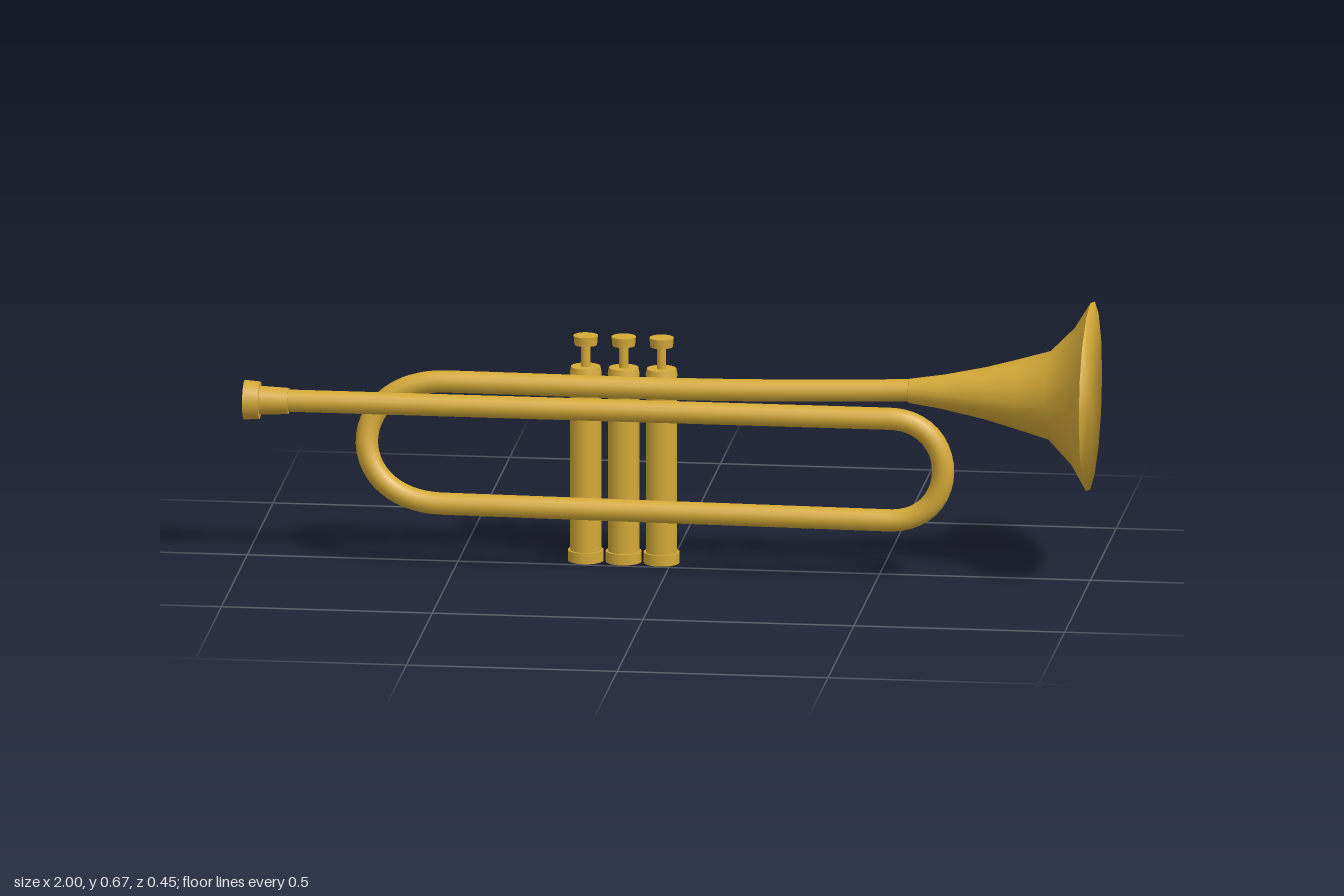
import * as THREE from 'three';

const V = (x, y, z) => new THREE.Vector3(x, y, z);

export function createModel() {
  const group = new THREE.Group();
  group.name = 'trumpet';
  const brass = new THREE.MeshStandardMaterial({ color: 0xd4a937 });
  brass.name = 'brass';

  const add = (name, geometry, parent = group) => {
    const mesh = new THREE.Mesh(geometry, brass);
    mesh.name = name;
    parent.add(mesh);
    return mesh;
  };
  const cylinder = (name, top, bottom, y0, y1, parent) => {
    const mesh = add(name, new THREE.CylinderGeometry(top, bottom, y1 - y0, 20), parent);
    mesh.position.y = (y0 + y1) / 2;
    return mesh;
  };
  const lathe = (points, sides) =>
    new THREE.LatheGeometry(points.map(([r, h]) => new THREE.Vector2(r, h)), sides);

  // Tubing: leadpipe, tuning bend, lower pipe, rear bend and bell pipe as one path
  const path = new THREE.CurvePath();
  path.add(new THREE.LineCurve3(V(-0.91, 0.392, 0.056), V(0.53, 0.392, 0.056)));
  path.add(new THREE.CubicBezierCurve3(
    V(0.53, 0.392, 0.056), V(0.70, 0.392, 0.056), V(0.70, 0.145, 0.056), V(0.53, 0.145, 0.056)));
  path.add(new THREE.LineCurve3(V(0.53, 0.145, 0.056), V(-0.53, 0.153, 0.056)));
  path.add(new THREE.CubicBezierCurve3(
    V(-0.53, 0.153, 0.056), V(-0.774, 0.155, 0.056), V(-0.774, 0.435, -0.003), V(-0.53, 0.435, -0.003)));
  path.add(new THREE.CubicBezierCurve3(
    V(-0.53, 0.435, -0.003), V(-0.1, 0.434, -0.003), V(0.1, 0.428, -0.003), V(0.58, 0.449, 0)));
  add('tubing', new THREE.TubeGeometry(path, 240, 0.0265, 16, false));

  // Bell flare, opening toward +x
  const bell = new THREE.Group();
  bell.name = 'bell';
  bell.position.y = 0.447;
  group.add(bell);
  const flare = lathe([[0, 0.57], [0.029, 0.57], [0.029, 0.571], [0.041, 0.65], [0.062, 0.75],
    [0.084, 0.83], [0.106, 0.905], [0.165, 0.963], [0.226, 1]], 16);
  flare.rotateZ(-Math.PI / 2);
  add('bellFlare', flare, bell);

  // Bell mouth, with normals leaning outward for a soft rim
  const mouth = new THREE.CircleGeometry(0.226, 16);
  const pos = mouth.attributes.position;
  for (let i = 1; i < pos.count; i++) {
    const n = V(pos.getX(i), pos.getY(i), 0).normalize().multiplyScalar(0.85);
    mouth.attributes.normal.setXYZ(i, n.x, n.y, 0.53);
  }
  mouth.rotateY(Math.PI / 2);
  add('bellMouth', mouth, bell).position.x = 1;

  // Mouthpiece: cup and shank on the leadpipe
  const mouthpiece = new THREE.Group();
  mouthpiece.name = 'mouthpiece';
  mouthpiece.position.set(0, 0.391, 0.056);
  mouthpiece.rotation.z = -Math.PI / 2;
  group.add(mouthpiece);
  cylinder('mouthpieceCup', 0.044, 0.047, -1, -0.963, mouthpiece);
  cylinder('mouthpieceShank', 0.031, 0.034, -0.963, -0.895, mouthpiece);

  // Three valves behind the tubing
  [-0.203, -0.113, -0.023].forEach((x, i) => {
    const valve = new THREE.Group();
    valve.name = `valve${i + 1}`;
    valve.position.set(x, 0, -0.048);
    group.add(valve);
    cylinder('bottomCap', 0.0425, 0.0425, 0, 0.026, valve);
    cylinder('casing', 0.037, 0.037, 0.026, 0.455, valve);
    cylinder('topCap', 0.035, 0.038, 0.455, 0.471, valve);
    cylinder('stem', 0.011, 0.011, 0.47, 0.53, valve);
    cylinder('button', 0.029, 0.027, 0.524, 0.546, valve);
  });

  return group;
}
